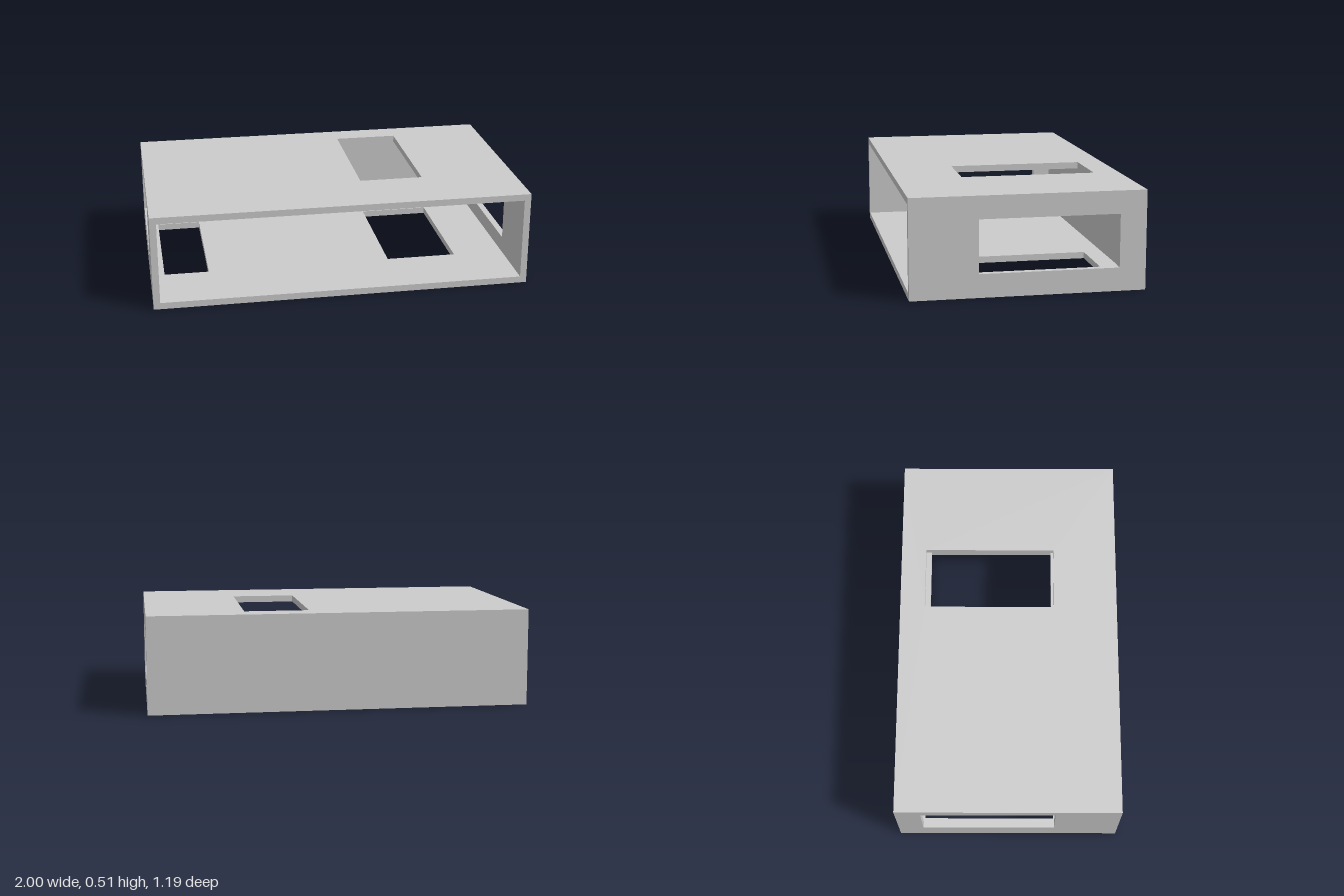
import * as THREE from 'three';

const W = 2, H = 0.51, D = 1.19, T = 0.035; // outer size and wall thickness
const Z0 = -0.46, Z1 = 0.25;                // all windows share this depth range

const material = new THREE.MeshStandardMaterial({ color: 0xcccccc, flatShading: true });

// Rectangular panel from (u0, v0) to (u1, v1) with rectangular windows, T thick
function panel(name, [u0, v0, u1, v1], windows) {
  const shape = new THREE.Shape();
  shape.moveTo(u0, v0).lineTo(u1, v0).lineTo(u1, v1).lineTo(u0, v1).closePath();
  for (const [a0, b0, a1, b1] of windows) {
    const hole = new THREE.Path();
    hole.moveTo(a0, b0).lineTo(a0, b1).lineTo(a1, b1).lineTo(a1, b0).closePath();
    shape.holes.push(hole);
  }
  const geometry = new THREE.ExtrudeGeometry(shape, { depth: T, bevelEnabled: false });
  const mesh = new THREE.Mesh(geometry, material);
  mesh.name = name;
  return mesh;
}

// Horizontal panel: windows given as [x0, x1]; shape v axis becomes -z
function slab(name, y, windows) {
  const mesh = panel(name, [-W / 2, -D / 2, W / 2, D / 2],
    windows.map(([x0, x1]) => [x0, -Z1, x1, -Z0]));
  mesh.rotation.x = -Math.PI / 2;
  mesh.position.y = y;
  return mesh;
}

// Side wall between floor and roof: window given as [y0, y1]; shape u axis becomes -z
function side(name, x, [y0, y1]) {
  const mesh = panel(name, [-D / 2, T, D / 2, H - T], [[-Z1, y0, -Z0, y1]]);
  mesh.rotation.y = Math.PI / 2;
  mesh.position.x = x;
  return mesh;
}

export function createModel() {
  const group = new THREE.Group();
  group.name = 'openBox';

  group.add(
    slab('floor', 0, [[0.31, 0.69], [-0.925, -0.685]]),
    slab('roof', H - T, [[0.15, 0.49]]),
    side('leftWall', W / 2 - T, [0.12, 0.393]),
    side('rightWall', -W / 2, [0.145, 0.445]),
  );

  // Solid back wall; the front stays open
  const back = panel('backWall', [-W / 2 + T, T, W / 2 - T, H - T], []);
  back.position.z = -D / 2;
  group.add(back);

  return group;
}
